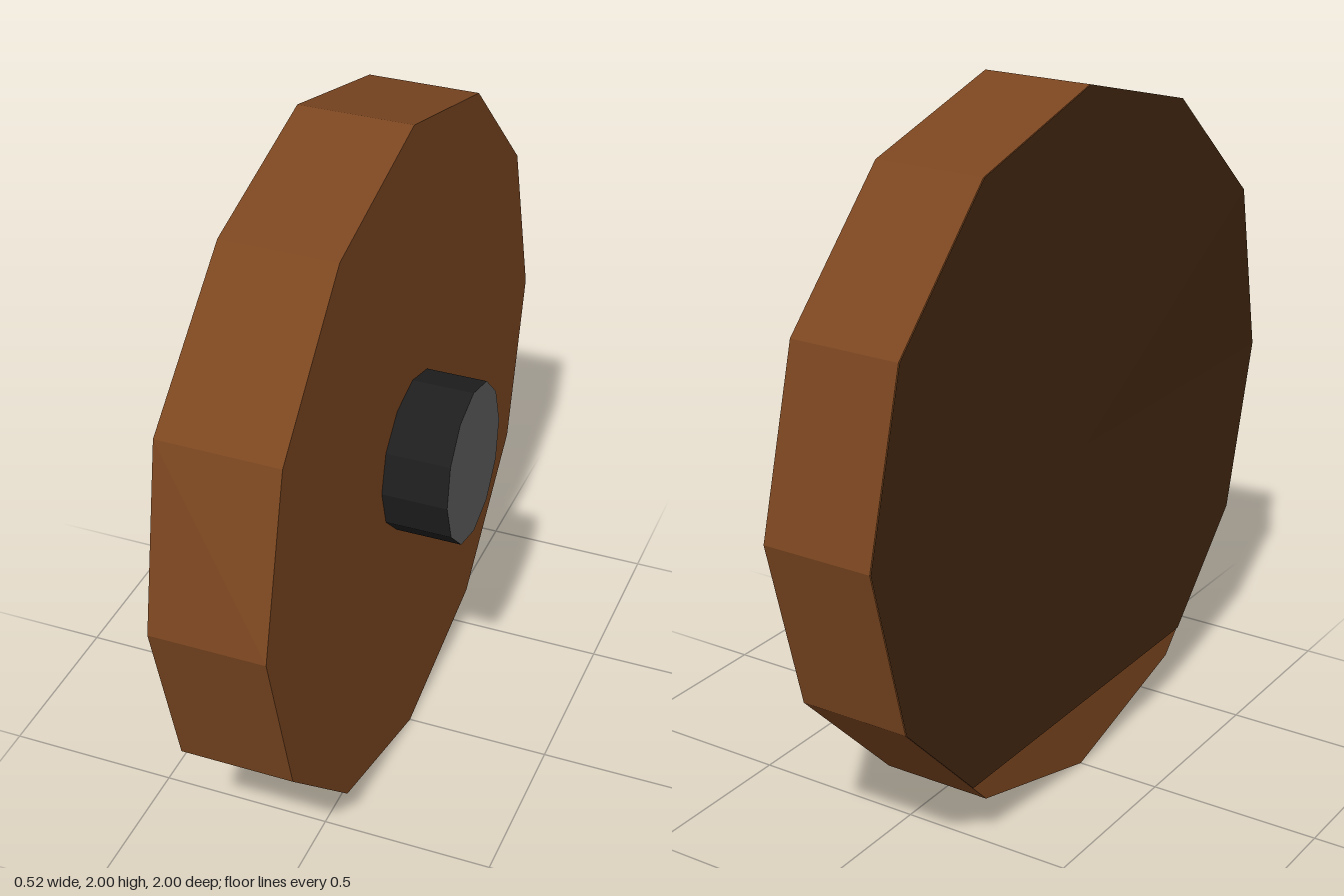
import * as THREE from 'three';

const wood = new THREE.MeshStandardMaterial({ color: 0x7b4620 });
wood.name = 'brownWood';
const darkWood = new THREE.MeshStandardMaterial({ color: 0x42260f });
darkWood.name = 'darkBrownWood';
const iron = new THREE.MeshStandardMaterial({ color: 0x1e1e1e });
iron.name = 'darkIron';
const steel = new THREE.MeshStandardMaterial({ color: 0x5e5e5e });
steel.name = 'greySteel';

// Shifts each corner by bend(p), then gives the faces flat normals
function flatMesh(name, geometry, materials, bend) {
  const pos = geometry.attributes.position;
  const p = new THREE.Vector3();
  for (let i = 0; i < pos.count; i++) {
    bend(p.fromBufferAttribute(pos, i));
    pos.setXYZ(i, p.x, p.y, p.z);
  }
  const flat = geometry.toNonIndexed();
  flat.computeVertexNormals();
  const mesh = new THREE.Mesh(flat, materials);
  mesh.name = name;
  return mesh;
}

// Twelve-sided disc lying along x from x0 to x1, centred at height 1
function disc(radius, x0, x1) {
  return new THREE.CylinderGeometry(radius, radius, x1 - x0, 12)
    .rotateZ(-Math.PI / 2)
    .translate((x0 + x1) / 2, 1, 0);
}

// One corner of the inner rim is slightly warped outwards
function warpCorner(p) {
  if (p.x < 0 && Math.hypot(p.y - 1.5, p.z - 0.866) < 0.01) {
    p.add(new THREE.Vector3(-0.007, 0.017, 0.019));
  }
}

export function createModel() {
  const model = new THREE.Group();
  model.name = 'wheel';

  model.add(flatMesh('wheelDisc', disc(1, -0.253, 0.07), wood, warpCorner));

  // Dark inner face, cut off level above the bottom so bare wood shows below
  const inner = new THREE.CircleGeometry(1, 12)
    .rotateY(-Math.PI / 2)
    .translate(-0.256, 1, 0);
  model.add(flatMesh('innerFace', inner, darkWood, (p) => {
    warpCorner(p);
    if (p.y < 0.2) {
      p.y = 0.2;
      if (Math.abs(p.z) > 0.1) p.z = Math.sign(p.z) * 0.566;
    }
  }));

  // Hub with a slightly tilted outer cap
  model.add(flatMesh('hub', disc(0.23, 0.05, 0.253), [iron, steel, iron], (p) => {
    if (p.x > 0.2) p.x += 0.025 * (p.z - (p.y - 1));
  }));

  // Small dark stain peeking out behind the hub
  const outline = [[0.19, 0.87], [0.215, 0.88], [0.245, 0.905], [0.25, 0.925],
    [0.265, 0.94], [0.25, 0.985], [0.235, 1], [0.19, 1]];
  const stain = new THREE.Mesh(
    new THREE.ShapeGeometry(new THREE.Shape(outline.map(([x, y]) => new THREE.Vector2(x, y)))),
    darkWood);
  stain.name = 'hubStain';
  stain.rotation.y = Math.PI / 2;
  stain.position.x = 0.073;
  model.add(stain);

  return model;
}
